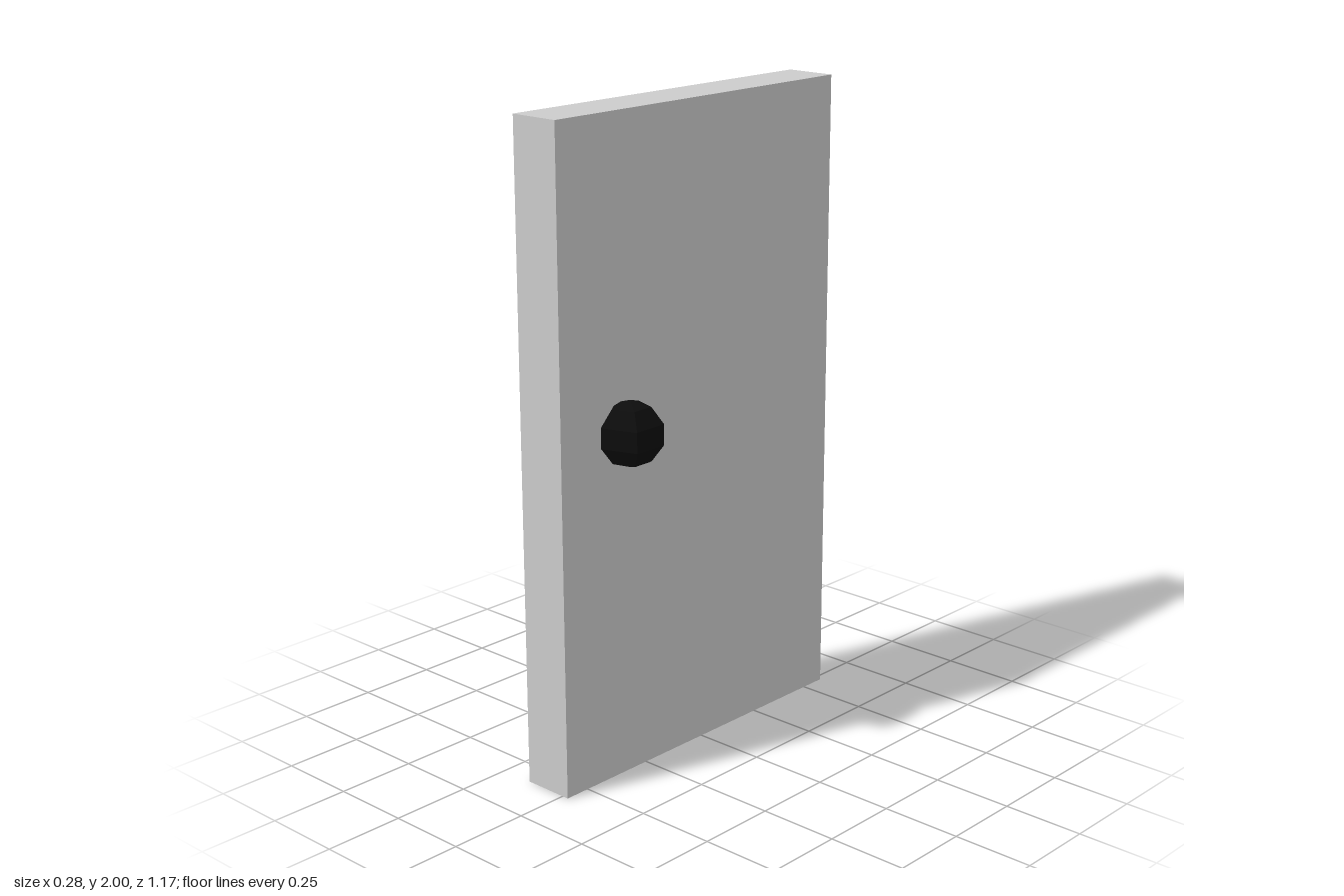
import * as THREE from 'three';

export function createModel() {
  const model = new THREE.Group();
  model.name = 'door';

  // Plain slab standing on the ground
  const panel = new THREE.Mesh(
    new THREE.BoxGeometry(0.163, 2, 1.166),
    new THREE.MeshStandardMaterial({ color: 0xcccccc, flatShading: true })
  );
  panel.name = 'doorPanel';
  panel.position.set(-0.06, 1, 0);
  model.add(panel);

  // Faceted five-sided knob, partly sunk into the left face
  const knob = new THREE.Mesh(
    new THREE.SphereGeometry(0.101, 5, 5),
    new THREE.MeshStandardMaterial({ color: 0x0d0d0d, flatShading: true })
  );
  knob.name = 'doorKnob';
  knob.position.set(0.06, 1.077, 0.343);
  knob.rotation.y = 0.02;
  model.add(knob);

  return model;
}
